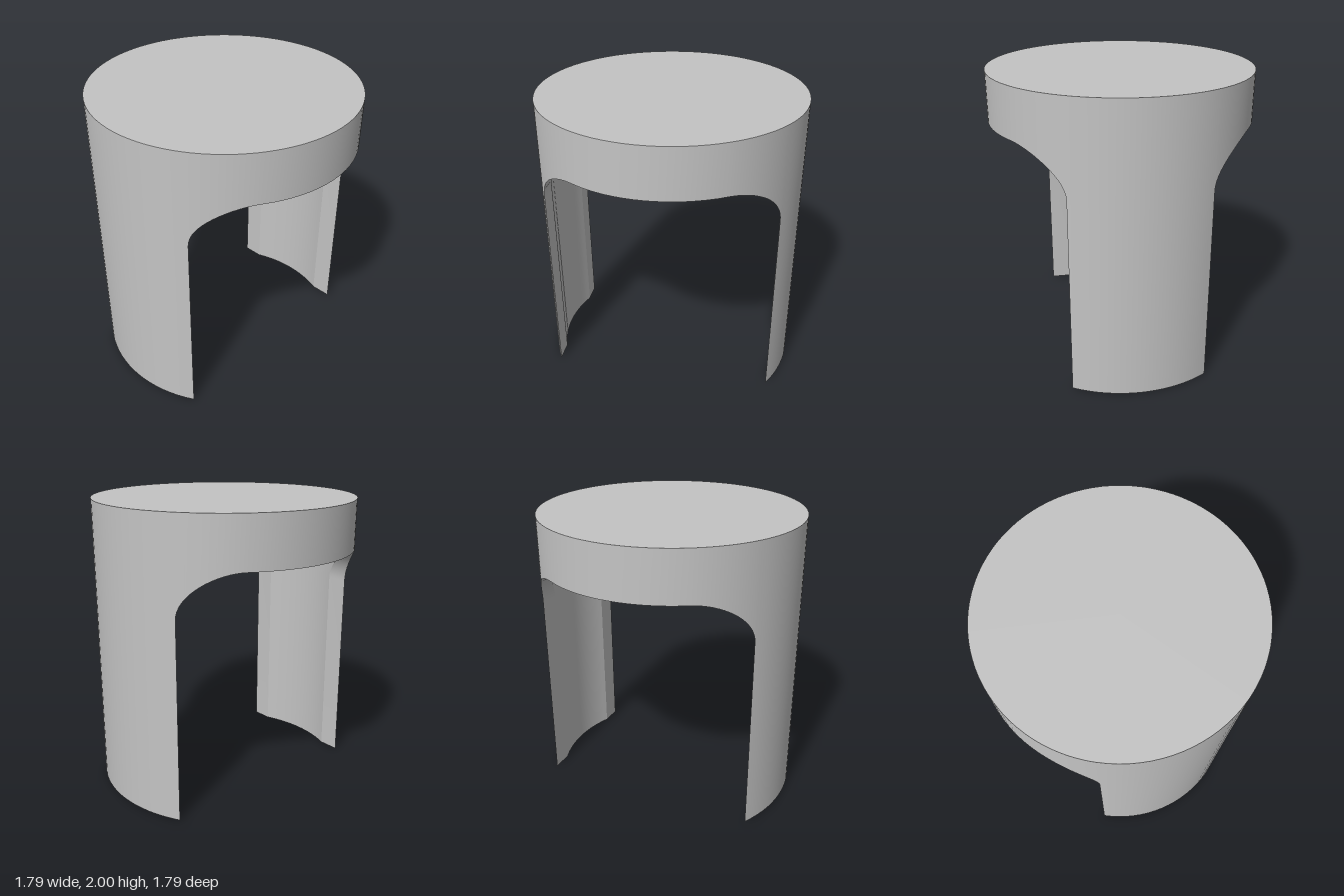
import * as THREE from 'three';
import { toCreasedNormals } from 'three/addons/utils/BufferGeometryUtils.js';

const OUTER = 0.895, INNER = 0.83;    // wall radii
const TOP = 2, UNDER = 1.93;          // seat slab
const HALF = 0.77, ARCH = 1.66, FILLET = 0.3; // arched opening cut through the drum
const STEPS = 16;

const grey = new THREE.MeshStandardMaterial({ color: 0xc4c4c4 });
grey.name = 'light grey';

// One radial slice: outer bottom, outer top, two points on the axis, inner top, inner bottom
function slice(outer, inner, y) {
  const v = (p, h) => new THREE.Vector3(p[0], h, p[1]);
  return [v(outer, y), v(outer, TOP), v([0, 0], TOP), v([0, 0], UNDER), v(inner, UNDER), v(inner, y)];
}

// Slices for half the drum: one arched opening, then one leg
function halfSlices(sign) {
  const slices = [];
  const profile = [];
  for (let i = 0; i <= STEPS; i++) {
    const a = (i / STEPS) * Math.PI / 2;
    profile.push([-HALF + FILLET * (1 - Math.cos(a)), ARCH - FILLET * (1 - Math.sin(a))]);
  }
  const flat = HALF - FILLET;
  for (let i = 1; i < STEPS; i++) profile.push([-flat + (2 * flat * i) / STEPS, ARCH]);
  for (let i = STEPS; i >= 0; i--) profile.push([-profile[i][0], profile[i][1]]);
  const at = (r, z) => [sign * Math.sqrt(r * r - z * z), sign * z];
  for (const [z, y] of profile) slices.push(slice(at(OUTER, z), at(INNER, z), y));

  const along = (r, t) => {
    const start = Math.asin(HALF / r);
    const a = start + (Math.PI - 2 * start) * t;
    return [sign * r * Math.cos(a), sign * r * Math.sin(a)];
  };
  for (let i = 0; i <= STEPS; i++) slices.push(slice(along(OUTER, i / STEPS), along(INNER, i / STEPS), 0));
  return slices;
}

// Skin between two corners of every slice around the drum
function skin(name, slices, from, to) {
  const points = [];
  const add = (a, b, c) => {
    if (new THREE.Triangle(a, b, c).getArea() > 1e-8) points.push(a, b, c);
  };
  slices.forEach((s, i) => {
    const n = slices[(i + 1) % slices.length];
    add(s[from], s[to], n[from]);
    add(s[to], n[to], n[from]);
  });
  const geometry = new THREE.BufferGeometry().setFromPoints(points);
  const mesh = new THREE.Mesh(toCreasedNormals(geometry, 0.5), grey);
  mesh.name = name;
  return mesh;
}

export function createModel() {
  const group = new THREE.Group();
  group.name = 'stool';
  const slices = [...halfSlices(1), ...halfSlices(-1)];
  group.add(
    skin('outerWall', slices, 0, 1),
    skin('seatTop', slices, 1, 2),
    skin('seatUnderside', slices, 3, 4),
    skin('innerWall', slices, 4, 5),
    skin('openingEdgesAndFeet', slices, 5, 0)
  );
  group.rotation.y = 0.05; // the opening is turned slightly
  return group;
}
